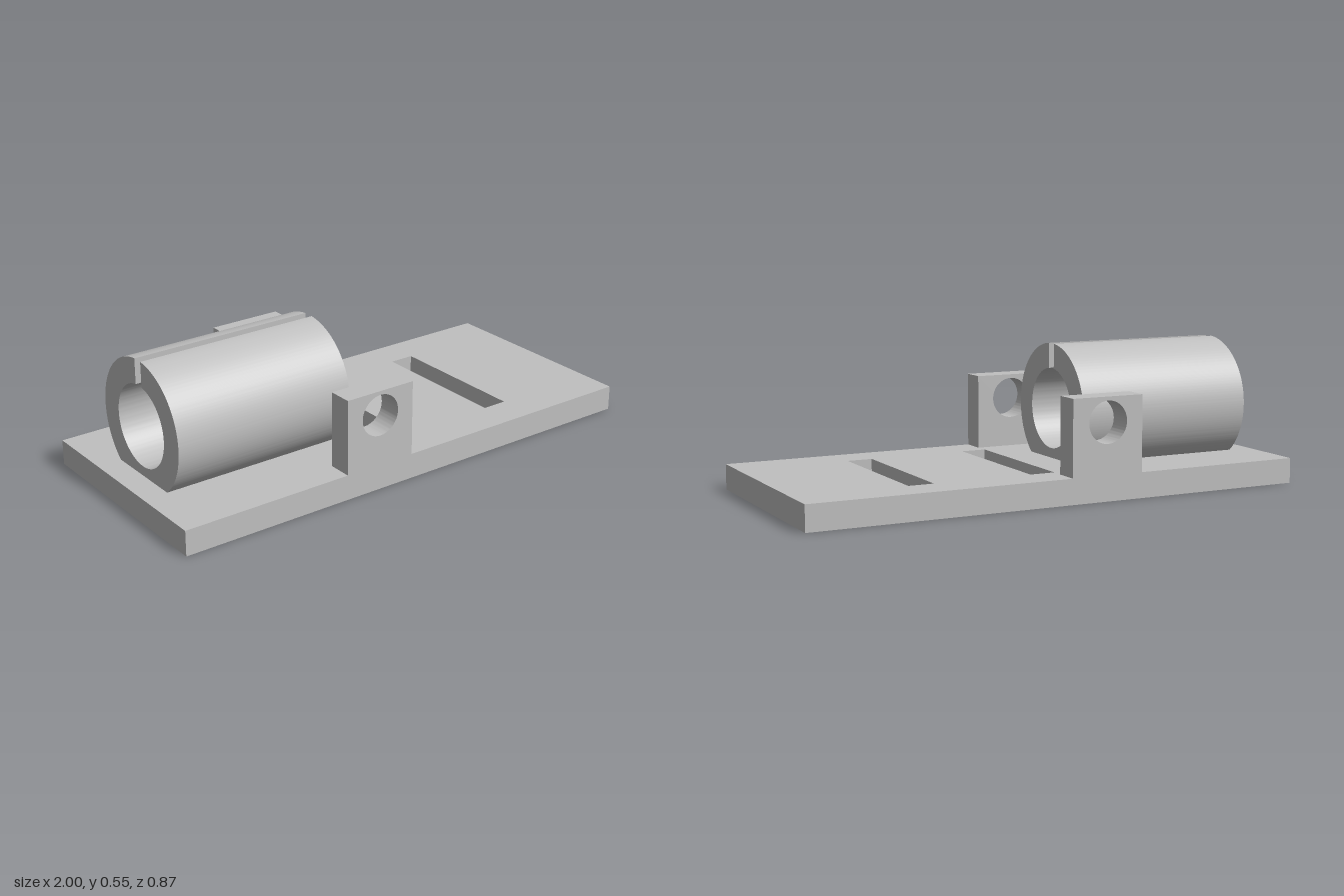
import * as THREE from 'three';
import { toCreasedNormals } from 'three/addons/utils/BufferGeometryUtils.js';

const PLATE_H = 0.098, HALF_W = 0.437;

function rectangle(Type, x0, y0, x1, y1) {
  const s = new Type();
  s.moveTo(x0, y0);
  s.lineTo(x1, y0);
  s.lineTo(x1, y1);
  s.lineTo(x0, y1);
  s.closePath();
  return s;
}

// Straight extrusion: smooth round walls, sharp edges
function extrude(shape, depth) {
  const g = new THREE.ExtrudeGeometry(shape, { depth, bevelEnabled: false, curveSegments: 64 });
  return toCreasedNormals(g, 0.5);
}

export function createModel() {
  const model = new THREE.Group();
  model.name = 'clampMount';
  const grey = new THREE.MeshStandardMaterial({ color: 0xc0c0c0 });
  grey.name = 'grey';

  const add = (name, geometry) => {
    const mesh = new THREE.Mesh(geometry, grey);
    mesh.name = name;
    model.add(mesh);
    return mesh;
  };

  // Base plate with two strap slots
  const plate = rectangle(THREE.Shape, -1, -HALF_W, 1, HALF_W);
  for (const x of [-0.03, 0.46]) {
    plate.holes.push(rectangle(THREE.Path, x, -0.292, x + 0.1, 0.292));
  }
  add('basePlate', extrude(plate, PLATE_H).rotateX(-Math.PI / 2));

  // Split tube: ring with a slit on top and a flat foot on the plate
  const cy = 0.293, outer = 0.254, inner = 0.157, slit = 0.02;
  const foot = Math.asin((PLATE_H - cy) / outer);
  const outerTop = Math.acos(slit / outer), innerTop = Math.acos(slit / inner);
  const ring = new THREE.Shape();
  ring.absarc(0, cy, outer, outerTop, foot, true);
  ring.absarc(0, cy, outer, Math.PI - foot, Math.PI - outerTop, true);
  ring.absarc(0, cy, inner, Math.PI - innerTop, Math.PI * 2 + innerTop, false);
  ring.closePath();
  add('splitTube', extrude(ring, 0.73).rotateY(Math.PI / 2)).position.x = -0.905;

  // Side lugs with a through hole
  const lug = rectangle(THREE.Shape, -0.32, PLATE_H, -0.027, 0.39);
  const hole = new THREE.Path();
  hole.absarc(-0.174, 0.295, 0.08, 0, Math.PI * 2, true);
  lug.holes.push(hole);
  const thickness = 0.095;
  const lugGeometry = extrude(lug, thickness);
  add('frontLug', lugGeometry).position.z = HALF_W - thickness;
  add('backLug', lugGeometry).position.z = -HALF_W;

  return model;
}
